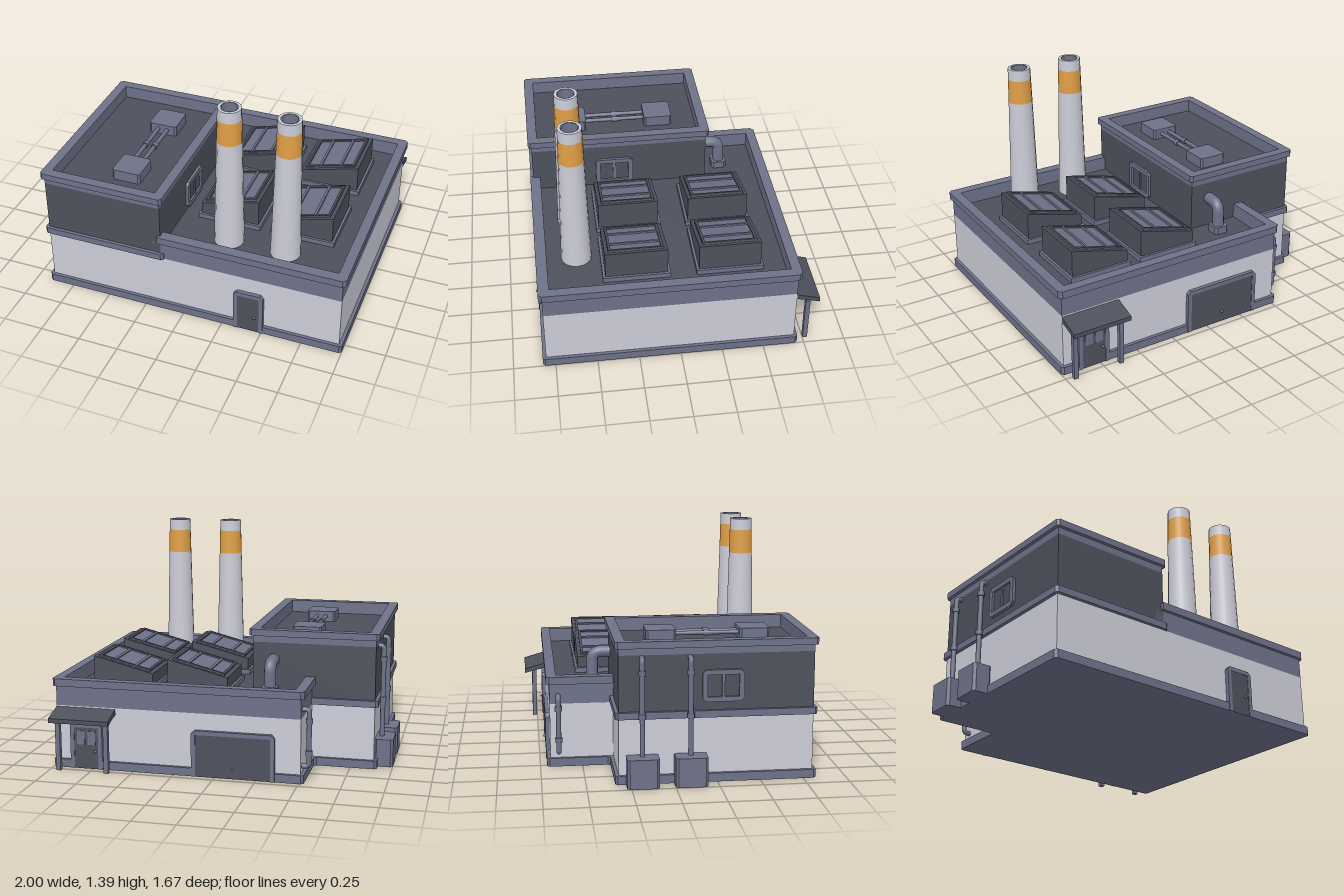
import * as THREE from 'three';
import { toCreasedNormals } from 'three/addons/utils/BufferGeometryUtils.js';

const paint = (name, color) => Object.assign(new THREE.MeshStandardMaterial({ color }), { name });

export function createModel() {
  const model = new THREE.Group();
  model.name = 'factory';
  const light = paint('pale wall', 0xcccdd8);
  const trim = paint('slate trim', 0x6e7289);
  const dark = paint('charcoal', 0x4d515c);
  const orange = paint('orange band', 0xe1a047);

  const add = (name, geo, mat, parent = model) => {
    const m = new THREE.Mesh(geo, mat);
    m.name = name;
    parent.add(m);
    return m;
  };
  const group = (name, x, y, z, ry = 0) => {
    const g = new THREE.Group();
    g.name = name;
    g.position.set(x, y, z);
    g.rotation.y = ry;
    model.add(g);
    return g;
  };
  // Box given by its limits
  const box = (name, mat, x0, x1, y0, y1, z0, z1, parent) => {
    const g = new THREE.BoxGeometry(x1 - x0, y1 - y0, z1 - z0);
    g.translate((x0 + x1) / 2, (y0 + y1) / 2, (z0 + z1) / 2);
    return add(name, g, mat, parent);
  };
  // Cut every corner of a polygon by c
  const cut = (pts, c) => !c ? pts : pts.flatMap((p, i) => {
    const n = pts.length;
    return [pts[(i + n - 1) % n], pts[(i + 1) % n]].map((q) => {
      const d = Math.hypot(q[0] - p[0], q[1] - p[1]);
      return [p[0] + (q[0] - p[0]) * c / d, p[1] + (q[1] - p[1]) * c / d];
    });
  });
  const rect = (x0, x1, z0, z1) => [[x0, z0], [x1, z0], [x1, z1], [x0, z1]];
  const vecs = (pts, s = 1) => pts.map(([a, b]) => new THREE.Vector2(a, s * b));
  // Plan outline (x, z) raised from y0 to y1
  const slab = (name, mat, pts, y0, y1, c = 0, hole) => {
    const s = new THREE.Shape(vecs(cut(pts, c), -1));
    if (hole) s.holes.push(new THREE.Path(vecs(hole, -1)));
    const g = new THREE.ExtrudeGeometry(s, { depth: y1 - y0, bevelEnabled: false });
    g.rotateX(-Math.PI / 2).translate(0, y0, 0);
    return add(name, g, mat);
  };
  // Upright plate (x, y) facing +z
  const plate = (name, mat, pts, z0, z1, c, hole, parent) => {
    const s = new THREE.Shape(vecs(cut(pts, c)));
    if (hole) s.holes.push(new THREE.Path(vecs(hole)));
    const g = new THREE.ExtrudeGeometry(s, { depth: z1 - z0, bevelEnabled: false });
    return add(name, g.translate(0, 0, z0), mat, parent);
  };
  // Round pipe through points with tight bends
  const pipe = (name, mat, pts, r, bend, parent) => {
    const v = pts.map((p) => new THREE.Vector3(...p));
    const path = new THREE.CurvePath();
    let from = v[0];
    for (let i = 1; i < v.length - 1; i++) {
      const a = v[i].clone().add(v[i - 1].clone().sub(v[i]).setLength(bend));
      const b = v[i].clone().add(v[i + 1].clone().sub(v[i]).setLength(bend));
      path.add(new THREE.LineCurve3(from, a));
      path.add(new THREE.QuadraticBezierCurve3(a, v[i], b));
      from = b;
    }
    path.add(new THREE.LineCurve3(from, v[v.length - 1]));
    return add(name, new THREE.TubeGeometry(path, 40, r, 12), mat, parent);
  };
  const collar = (x, y, z, r, h, along = 'y', parent = model) => {
    const m = add('pipeCollar', new THREE.CylinderGeometry(r, r, h, 12), trim, parent);
    m.position.set(x, y, z);
    if (along === 'z') m.rotation.x = Math.PI / 2;
  };

  // Plinth and lower walls
  const outline = (o) => [[-0.51 - o, -0.69 - o], [0.98 + o, -0.69 - o], [0.98 + o, 0.805 + o],
    [-0.89 - o, 0.805 + o], [-0.89 - o, -0.315 - o], [-0.51 - o, -0.315 - o]];
  slab('plinth', trim, outline(0.02), 0, 0.05, 0.015);
  slab('lowerWalls', light, outline(0), 0.05, 0.38);

  // Main hall: roof, parapet wall and lip, open where the tower stands
  const rim = (o) => [[-0.2, 0.76], [0.94, 0.76], [0.94, -0.65], [-0.47, -0.65], [-0.47, -0.3],
    [-0.51 - o, -0.3], [-0.51 - o, -0.69 - o], [0.98 + o, -0.69 - o], [0.98 + o, 0.805 + o], [-0.2, 0.805 + o]];
  const lip = rim(0.02);
  lip.splice(6, 3, [-0.53, -0.69], [-0.51, -0.71], [0.98, -0.71], [1, -0.69], [1, 0.805], [0.98, 0.825]);
  lip[0][0] = lip[lip.length - 1][0] = -0.16;
  slab('hallRoof', dark, rect(-0.48, 0.95, -0.66, 0.77), 0.37, 0.455);
  slab('hallParapet', trim, rim(0), 0.38, 0.5);
  slab('hallLip', trim, lip, 0.5, 0.545);

  // Tower block
  const towerPlan = rect(-0.89, -0.145, -0.315, 0.805);
  const towerWide = rect(-0.91, -0.125, -0.335, 0.825);
  const towerInner = rect(-0.85, -0.185, -0.275, 0.765);
  slab('towerBand', trim, towerWide, 0.38, 0.42, 0.015);
  slab('towerWalls', dark, towerPlan, 0.42, 0.745);
  slab('towerParapet', trim, towerPlan, 0.745, 0.785, 0, towerInner);
  slab('towerLip', trim, towerWide, 0.785, 0.825, 0.015, towerInner);

  // Tower roof ducts
  for (const z of [-0.03, 0.53])
    slab('roofUnit', trim, rect(-0.53, -0.35, z - 0.09, z + 0.09), 0.745, 0.812, 0.012);
  for (const x of [-0.47, -0.41]) {
    pipe('roofPipe', trim, [[x, 0.78, 0.04], [x, 0.78, 0.46]], 0.013, 0);
    collar(x, 0.78, 0.25, 0.019, 0.035, 'z');
  }

  // Chimneys
  const radius = (y) => 0.07 + (1.39 - y) * 0.0237;
  const ringWall = (y0, y1) => new THREE.CylinderGeometry(radius(y1), radius(y0), y1 - y0, 16, 1, true)
    .translate(0, (y0 + y1) / 2, 0);
  for (const x of [0.21, 0.565]) {
    const g = group('chimney', x, 0, 0.58);
    add('chimneyShaft', ringWall(0.45, 1.17), light, g);
    add('chimneyStripe', ringWall(1.17, 1.32), orange, g);
    add('chimneyTop', ringWall(1.32, 1.39), light, g);
    const mouth = [[0.07, 1.39], [0.052, 1.39]].map(([a, b]) => new THREE.Vector2(a, b));
    add('chimneyRim', new THREE.LatheGeometry(mouth.reverse(), 16), light, g).material.side = THREE.DoubleSide;
    const flue = [[0.052, 1.39], [0.046, 1.28], [0, 1.28]].map(([a, b]) => new THREE.Vector2(a, b));
    const inside = toCreasedNormals(new THREE.LatheGeometry(flue, 8), 0.9);
    add('chimneyFlue', inside, trim, g).material.side = THREE.DoubleSide;
  }

  // Slanted skylights
  const slope = Math.atan2(0.095, 0.37);
  for (const x of [0.155, 0.62]) for (const z of [-0.315, 0.24]) {
    const g = group('skylight', x, 0, z);
    box('skylightCurb', trim, -0.2, 0.2, 0.45, 0.485, -0.2, 0.2, g);
    plate('skylightBody', dark, [[-0.185, 0.47], [0.185, 0.47], [0.185, 0.65], [-0.185, 0.555]], -0.185, 0.185, 0, null, g);
    const top = new THREE.Group();
    top.name = 'skylightTop';
    top.position.set(0, 0.6025, 0);
    top.rotation.z = slope;
    g.add(top);
    box('skylightGlass', trim, -0.165, 0.165, 0, 0.004, -0.165, 0.165, top);
    for (const s of [-1, 1]) {
      box('skylightRail', dark, -0.165, 0.165, 0, 0.014, s * 0.155 - 0.008, s * 0.155 + 0.008, top);
      box('skylightEnd', dark, s * 0.157 - 0.008, s * 0.157 + 0.008, 0, 0.014, -0.163, 0.163, top);
      box('skylightBar', trim, s * 0.068 - 0.008, s * 0.068 + 0.008, 0, 0.013, -0.147, 0.147, top);
    }
  }

  // Doors: framed panel with handle, facing local +z
  const door = (name, x, z, ry, w, h) => {
    const g = group(name, x, 0, z, ry);
    const t = 0.025, a = w / 2;
    plate('doorFrame', trim, [[-a, 0], [-a + t, 0], [-a + t, h - t], [a - t, h - t], [a - t, 0], [a, 0],
      [a, h - 0.02], [a - 0.02, h], [-a + 0.02, h], [-a, h - 0.02]], -0.01, 0.024, 0, null, g);
    box('doorPanel', dark, -a + t, a - t, 0.001, h - t, -0.01, 0.021, g);
    return g;
  };
  const knob = (g, x, y) => {
    const m = add('doorKnob', new THREE.SphereGeometry(0.009, 8, 6), trim, g);
    m.position.set(x, y, 0.026);
  };
  knob(door('frontDoor', 0.418, 0.805, 0, 0.185, 0.28), 0.04, 0.11);
  knob(door('loadingDoor', -0.11, -0.69, Math.PI, 0.5, 0.28), 0, 0.07);
  const back = door('backDoor', 0.79, -0.69, Math.PI, 0.2, 0.28);
  knob(back, 0.055, 0.11);
  for (const s of [-1, 1]) box('doorGlass', trim, s * 0.033 - 0.024, s * 0.033 + 0.024, 0.15, 0.235, 0.02, 0.025, back);

  // Porch over the back door
  const canopy = plate('canopy', dark, [[0.69, 0.34], [0.83, 0.305], [0.83, 0.332], [0.69, 0.372]], 0, 0.37, 0, null);
  canopy.rotation.y = Math.PI / 2;
  canopy.position.x = 0.61;
  for (const x of [0.645, 0.945]) box('porchPost', trim, x - 0.014, x + 0.014, 0, 0.325, -0.78, -0.752);
  box('porchBeam', trim, 0.625, 0.965, 0.295, 0.32, -0.776, -0.756);

  // Tower side windows
  for (const s of [-1, 1]) {
    const g = group('sideWindow', s < 0 ? -0.89 : -0.145, 0.562, 0.28, s * Math.PI / 2);
    plate('windowFrame', trim, rect(-0.12, 0.12, -0.092, 0.092), -0.01, 0.018, 0.02, rect(-0.09, 0.09, -0.064, 0.064), g);
    box('windowPane', dark, -0.09, 0.09, -0.064, 0.064, -0.01, 0.005, g);
    box('windowBar', trim, -0.008, 0.008, -0.064, 0.064, 0, 0.013, g);
  }

  // Pump units with risers on the tower's outer wall
  for (const z of [-0.183, 0.092]) {
    slab('pumpUnit', trim, rect(-1, -0.885, z - 0.092, z + 0.092), 0, 0.17, 0.015);
    pipe('riser', trim, [[-0.923, 0.16, z], [-0.923, 0.73, z], [-0.88, 0.73, z]], 0.015, 0.02);
    for (const y of [0.4, 0.65]) collar(-0.923, y, z, 0.021, 0.03);
  }

  // Rain pipe on the hall's short wall
  pipe('rainPipe', trim, [[-0.5, 0.43, -0.64], [-0.55, 0.43, -0.64], [-0.55, 0.09, -0.64], [-0.5, 0.09, -0.64]], 0.015, 0.02);
  for (const y of [0.17, 0.36]) collar(-0.55, y, -0.64, 0.021, 0.03);

  // Curved roof vent running into the tower
  pipe('roofVent', trim, [[-0.273, 0.45, -0.423], [-0.273, 0.64, -0.423], [-0.273, 0.64, -0.3]], 0.036, 0.06);
  slab('ventCollar', trim, rect(-0.321, -0.225, -0.471, -0.375), 0.45, 0.5, 0.015);
  return model;
}
